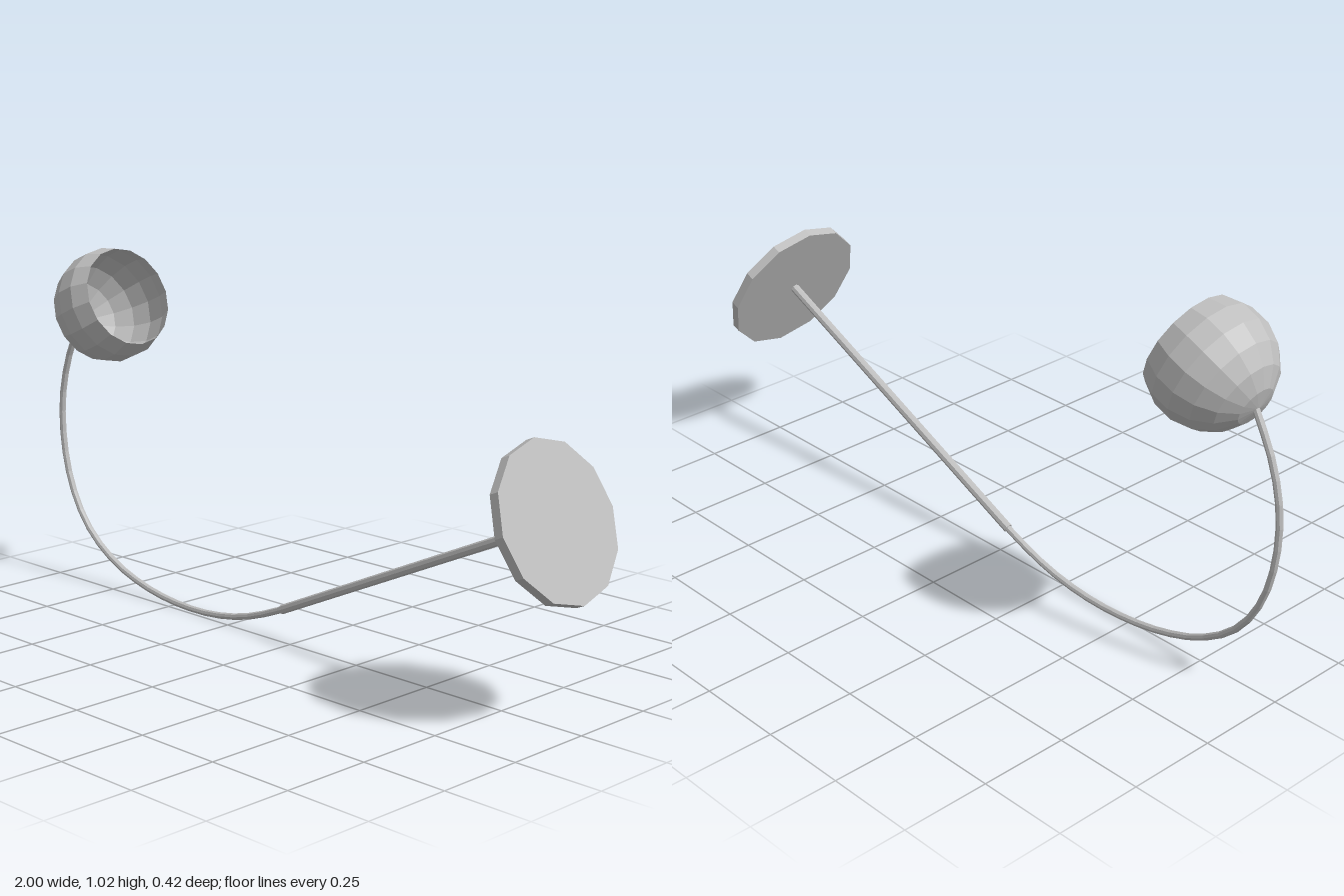
import * as THREE from 'three';

const lampGrey = new THREE.MeshStandardMaterial({ color: 0xbfbfbf, flatShading: true, side: THREE.DoubleSide });
lampGrey.name = 'lampGrey';

const UP = new THREE.Vector3(0, 1, 0);
// The lamp lies tipped over: this axis runs along the pole and out of the base
const AXIS = new THREE.Vector3(0.918, 0.396, 0).normalize();

function part(name, geometry) {
  const mesh = new THREE.Mesh(geometry, lampGrey);
  mesh.name = name;
  return mesh;
}

// Straight rod between two points
function rod(name, a, b, radius, sides) {
  const dir = b.clone().sub(a);
  const mesh = part(name, new THREE.CylinderGeometry(radius, radius, dir.length(), sides));
  mesh.position.copy(a).add(b).multiplyScalar(0.5);
  mesh.quaternion.setFromUnitVectors(UP, dir.normalize());
  return mesh;
}

export function createModel() {
  const lamp = new THREE.Group();
  lamp.name = 'arcLamp';

  // Twelve-sided base disc
  const base = part('base', new THREE.CylinderGeometry(0.21, 0.21, 0.027, 12));
  base.position.set(0.902, 0.515, 0);
  base.quaternion.setFromUnitVectors(UP, AXIS);
  lamp.add(base);

  // Straight lower pole
  const joint = new THREE.Vector3(-0.04, 0.09, -0.008);
  lamp.add(rod('pole', joint, new THREE.Vector3(0.895, 0.512, 0), 0.013, 8));

  // Thin curved arm sweeping up to the shade
  const arm = [
    [0.0, 0.108], [-0.1, 0.066], [-0.2, 0.034], [-0.3, 0.016], [-0.4, 0.01], [-0.53, 0.018],
    [-0.65, 0.042], [-0.76, 0.083], [-0.86, 0.15], [-0.925, 0.23], [-0.97, 0.335],
    [-0.99, 0.46], [-0.984, 0.57], [-0.95, 0.685], [-0.893, 0.794],
  ].map(([x, y]) => new THREE.Vector3(x, y, -0.008 + 0.009 * x));
  lamp.add(part('curvedArm', new THREE.TubeGeometry(new THREE.CatmullRomCurve3(arm), 26, 0.0095, 8)));

  // Open spherical shade, two thirds of a ball
  const profile = [];
  for (let i = 0; i <= 6; i++) {
    const t = THREE.MathUtils.degToRad(20 * i);
    profile.push(new THREE.Vector2(0.166 * Math.sin(t), -0.166 * Math.cos(t)));
  }
  const shade = part('shade', new THREE.LatheGeometry(profile, 16));
  shade.position.set(-0.75, 0.855, -0.014);
  shade.quaternion.setFromUnitVectors(UP, AXIS);
  lamp.add(shade);

  return lamp;
}
